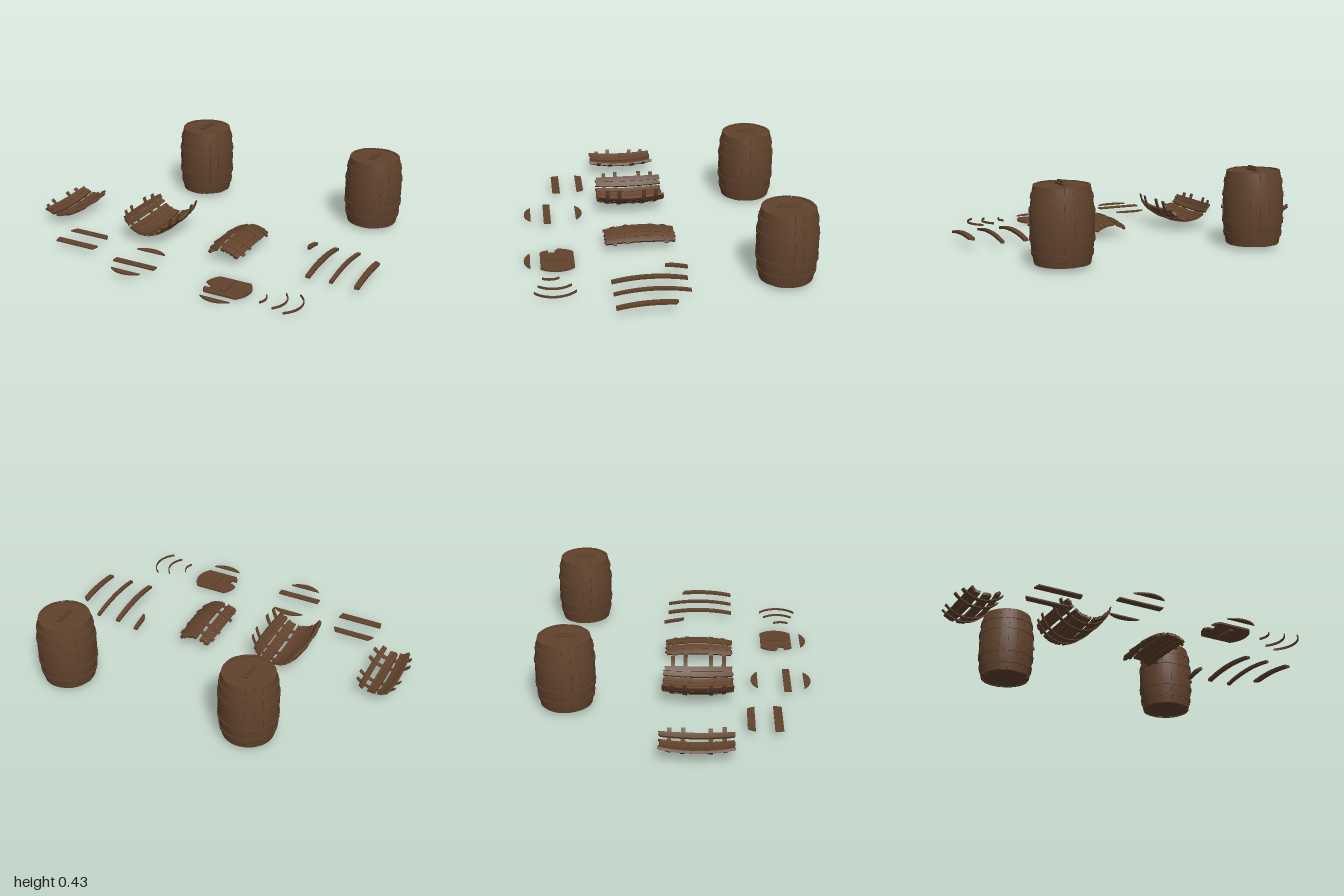
import * as THREE from 'three';

const wood = new THREE.MeshStandardMaterial({ color: 0x62432d });
wood.name = 'brown wood';

const RAD = Math.PI / 180;
const HALF = 0.195;            // half the height of a barrel
const LID = 0.127;             // lid radius
const HOOPS = [-0.14, -0.07, 0.07, 0.14];
const bulge = s => 0.16 - 0.02 * (s / HALF) ** 2;

let seed = 7;
const rand = () => (seed = (seed * 16807) % 2147483647) / 2147483647;

function add(parent, name, geometry, x = 0, y = 0, z = 0) {
  const mesh = new THREE.Mesh(geometry, wood);
  mesh.name = name;
  mesh.position.set(x, y, z);
  parent.add(mesh);
  return mesh;
}

function group(parent, name, x, y, z, rx = 0) {
  const g = new THREE.Group();
  g.name = name;
  g.position.set(x, y, z);
  g.rotation.x = rx;
  parent.add(g);
  return g;
}

// Bent slab wrapped round the barrel axis: angles in degrees, s along the axis
function panel(a0, a1, s0, s1, outer, inner, na = 2, ns = 10, jag0 = 0, jag1 = 0) {
  const geo = new THREE.BoxGeometry(1, 1, 1, na, ns, 1);
  const p = geo.attributes.position;
  const shift = Array.from({ length: na + 1 }, () => [rand() * jag0, rand() * jag1]);
  for (let i = 0; i < p.count; i++) {
    const u = p.getX(i) + 0.5, v = p.getY(i) + 0.5;
    const [j0, j1] = shift[Math.round(u * na)];
    const s = THREE.MathUtils.lerp(s0 + j0, s1 - j1, v);
    const a = (a0 + (a1 - a0) * u) * RAD;
    const r = bulge(s) + (p.getZ(i) > 0 ? outer : inner);
    p.setXYZ(i, r * Math.sin(a), s, r * Math.cos(a));
  }
  geo.computeVertexNormals();
  return geo;
}

// Part of the lid disc between two chords, with an optional bite on the left
function slice(v0, v1, thick, bite) {
  const edge = v => Math.sqrt(Math.max(0, LID * LID - v * v));
  const pts = [];
  const arc = (from, to, side) => {
    const t0 = Math.asin(from / LID), t1 = Math.asin(to / LID);
    for (let i = 0; i <= 10; i++) {
      const v = LID * Math.sin(t0 + (t1 - t0) * i / 10);
      pts.push(new THREE.Vector2(side * edge(v), v));
    }
  };
  arc(v0, v1, 1);
  if (bite) {
    arc(v1, bite[0][1], -1);
    bite.forEach(([x, v]) => pts.push(new THREE.Vector2(x, v)));
    arc(bite[bite.length - 1][1], v0, -1);
  } else arc(v1, v0, -1);
  const geo = new THREE.ExtrudeGeometry(new THREE.Shape(pts), { depth: thick, bevelEnabled: false });
  return geo.rotateX(Math.PI / 2);
}

function handle(parent, y) {
  const g = group(parent, 'lidHandle', 0, y, 0);
  g.rotation.y = -0.04;
  add(g, 'handleBase', new THREE.BoxGeometry(0.03, 0.012, 0.115), 0, 0.004, 0);
  add(g, 'handleGrip', new THREE.BoxGeometry(0.018, 0.012, 0.085), 0, 0.014, 0);
}

function barrel(root, x, z, name) {
  const g = group(root, name, x, 0.215, z);
  const n = 20, step = 360 / n;
  for (let i = 0; i < n; i++) {
    const lift = rand() * 0.003;
    add(g, 'stave', panel(i * step + 0.25, (i + 1) * step - 0.25, -HALF + lift, HALF - lift,
      -rand() * 0.0015, -0.014, 3, 12));
  }
  for (const s of HOOPS) {
    add(g, 'hoop', panel(0, 360, s - 0.011, s + 0.011, 0.004, -0.002, 48, 1));
    for (let i = 0; i < n; i += 2) {
      const a = (i + 0.5) * step * RAD, r = bulge(s) + 0.004;
      add(g, 'nail', new THREE.SphereGeometry(0.0025, 6, 4), r * Math.sin(a), s, r * Math.cos(a));
    }
  }
  // Planked lid and bottom
  const cuts = [-LID, -0.085, -0.042, 0, 0.042, 0.085, LID];
  for (let i = 0; i < 6; i++) {
    add(g, 'lidPlank', slice(cuts[i], cuts[i + 1], 0.01, null), 0, HALF - 0.006 + (i % 2) * 0.001, 0);
    add(g, 'bottomPlank', slice(cuts[i], cuts[i + 1], 0.01, null), 0, -HALF + 0.014, 0);
  }
  handle(g, HALF - 0.002);
  // Bung on the left side
  const a = 66 * RAD;
  const bung = add(g, 'bung', new THREE.CylinderGeometry(0.01, 0.011, 0.016, 14), 0.159 * Math.sin(a), 0, 0.159 * Math.cos(a));
  bung.rotation.set(Math.PI / 2, 0, -a);
}

// Broken piece of barrel wall lying on its side, held together by hoop pieces
function wreck(root, name, x, y, flip, staves, h0, h1) {
  const g = group(root, name, x, y, 0.115, flip * Math.PI / 2);
  for (const [a0, a1] of staves) {
    add(g, 'brokenStave', panel(a0 + 0.3, a1 - 0.3, -HALF, HALF, 0, -0.014, 3, 12, 0.012, 0.012));
  }
  for (const s of HOOPS) {
    add(g, 'brokenHoop', panel(h0 + rand() * 6, h1 - rand() * 6, s - 0.011, s + 0.011, 0.004, -0.002, 20, 1));
  }
}

export function createModel() {
  const root = new THREE.Group();
  root.name = 'barrels';

  barrel(root, -0.375, -0.59, 'rightBarrel');
  barrel(root, 0.715, -0.59, 'leftBarrel');

  wreck(root, 'smallWreck', -0.87, 0.195, 1,
    [[-36, -24], [-24, -11], [-5, 5], [5, 14], [24, 36]], -50, 49);
  wreck(root, 'largeWreck', -0.285, 0.195, 1,
    [[-68, -56], [-56, -44], [-40, -29], [-29, -17], [-17, -6], [-6, 4], [11, 22], [22, 33], [36, 48], [48, 60]], -80, 84);
  wreck(root, 'archedWreck', 0.21, -0.06, -1,
    [[-40, -28], [-28, -15], [-7, 4], [4, 16], [16, 28], [28, 40]], -46, 46);

  // Loose staves: x, half angle, axis range, broken ends
  const loose = [
    [0.58, 5, 0.085, 0.215, 0.06, 0],
    [0.71, 5.5, -HALF, HALF, 0, 0],
    [0.84, 4, -HALF, HALF, 0, 0],
    [0.98, 6, -HALF, 0.115, 0, 0.04],
  ];
  for (const [x, a, s0, s1, j0, j1] of loose) {
    const g = group(root, 'looseStave', x, -0.095, 0.115, -Math.PI / 2);
    add(g, 'stave', panel(-a, a, s0, s1, 0, -0.014, 2, 12, j0, j1));
  }

  // Loose lid boards: x and z of the disc centre, chord range, top height
  const boards = [
    [-0.578, 0.453, -0.078, -0.038, 0.043],
    [-0.575, 0.515, 0, 0.045, 0.043],
    [-0.155, 0.532, -LID, -0.09, 0.043],
    [-0.155, 0.605, -0.02, 0.02, 0.043],
    [-0.155, 0.608, 0.09, LID, 0.043],
    [0.382, 0.619, 0.094, LID, 0.019],
  ];
  for (const [x, z, v0, v1, y] of boards) add(root, 'lidBoard', slice(v0, v1, 0.007, null), x, y, z);

  // Broken lid with its handle
  const lid = group(root, 'brokenLid', 0.382, 0.018, 0.57);
  add(lid, 'lidDisc', slice(-0.09, 0.09, 0.01,
    [[-0.105, 0.06], [-0.115, 0.045], [-0.085, 0.045], [-0.08, 0.01], [-0.11, 0.008], [-0.12, -0.005]]));
  add(lid, 'handle', new THREE.BoxGeometry(0.028, 0.026, 0.115), 0, -0.005, 0);

  // Loose hoop pieces standing on edge: x of the crown, z, radius, half angle
  for (const [x, z, r, a] of [[0.619, 0.612, 0.075, 36], [0.722, 0.595, 0.12, 46], [0.808, 0.595, 0.135, 53]]) {
    const arc = new THREE.Shape();
    arc.absarc(0, 0, r, -a * RAD, a * RAD, false);
    arc.absarc(0, 0, r - 0.005, a * RAD, -a * RAD, true);
    const geo = new THREE.ExtrudeGeometry(arc, { depth: 0.012, bevelEnabled: false, curveSegments: 16 });
    add(root, 'looseHoop', geo.rotateX(Math.PI / 2), x - r, 0.03, z);
  }
  return root;
}
